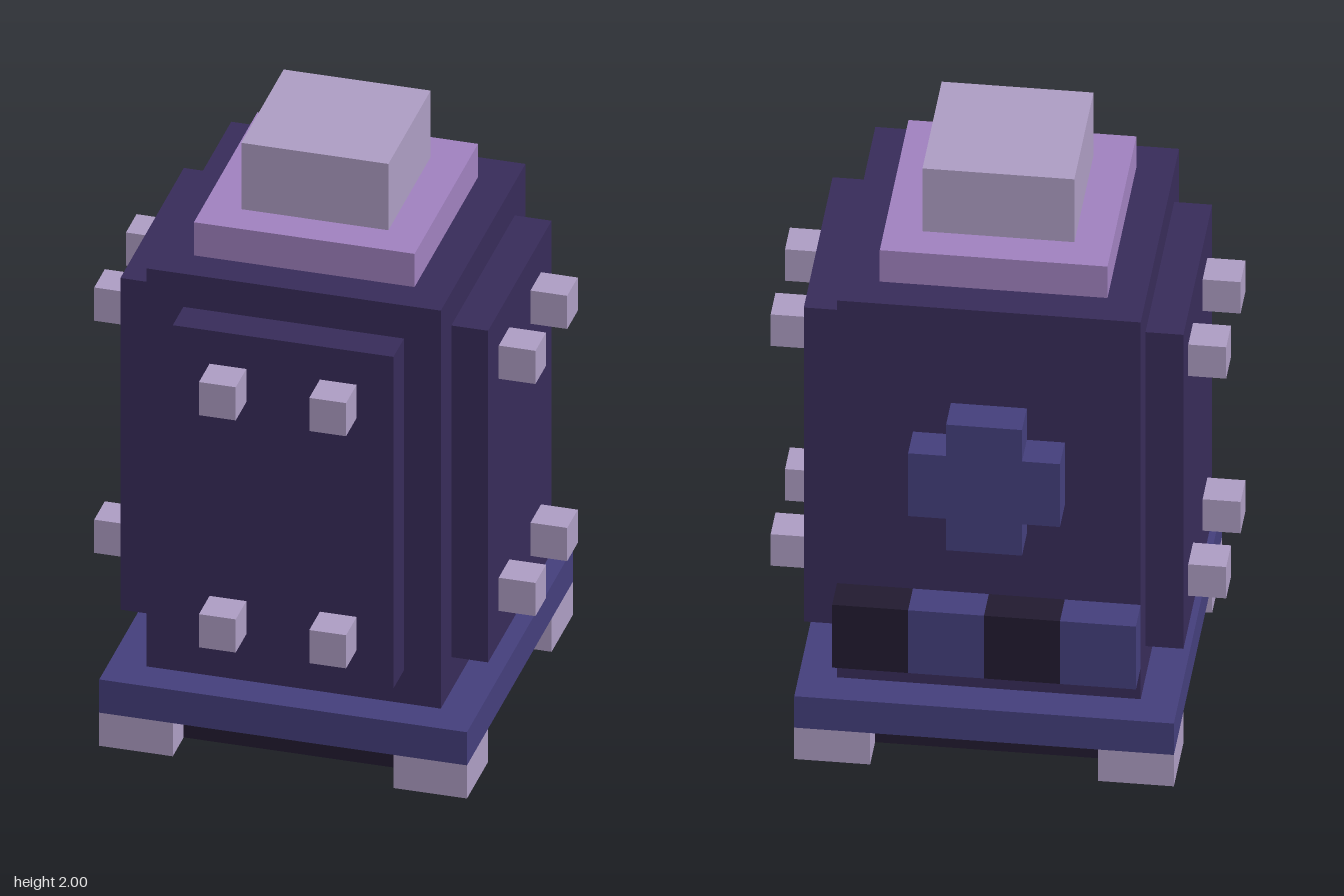
import * as THREE from 'three';

const U = 2 / 17; // one block unit

const mat = (color) => new THREE.MeshStandardMaterial({ color, flatShading: true });

export function createModel() {
  const root = new THREE.Group();
  const shell = mat(0x382c5a), trim = mat(0x443f7c), dark = mat(0x221b30);
  const pale = mat(0xae9ec4), lilac = mat(0xa182c0);

  // Box given by its extents in block units
  const box = (name, m, [x0, x1], [y0, y1], [z0, z1]) => {
    const mesh = new THREE.Mesh(new THREE.BoxGeometry(x1 - x0, y1 - y0, z1 - z0), m);
    mesh.position.set((x0 + x1) / 2, (y0 + y1) / 2, (z0 + z1) / 2);
    mesh.name = name;
    model.add(mesh);
  };
  const model = new THREE.Group();
  model.name = 'tank';
  model.scale.setScalar(U);
  root.add(model);

  // Base: underside block, plinth and four feet
  box('underside', dark, [-4, 4], [0.02, 1], [-4.5, 3.5]);
  box('plinth', trim, [-5, 5], [1, 2], [-5.5, 4.5]);
  for (const x of [-5, 3])
    for (const z of [-5.5, 2.5]) box('foot', pale, [x, x + 2], [0, 1], [z, z + 2]);

  // Body, neck and cap
  box('body', shell, [-4, 4], [2, 14], [-4.5, 3.5]);
  box('neck', lilac, [-3, 3], [14, 15], [-3.5, 2.5]);
  box('cap', pale, [-2, 2], [15, 17], [-2.5, 1.5]);

  // Raised panels on the front and both sides
  box('frontPanel', shell, [-3, 3], [3, 13], [3.5, 4.5]);
  box('leftPanel', shell, [4, 5], [3, 13], [-3.5, 2.5]);
  box('rightPanel', shell, [-5, -4], [3, 13], [-3.5, 2.5]);

  // Four bolts on each panel
  for (const y of [4, 11]) {
    for (const a of [-2, 1]) {
      box('frontBolt', pale, [a, a + 1], [y, y + 1], [4.5, 5.5]);
      box('leftBolt', pale, [5, 6], [y, y + 1], [a - 0.5, a + 0.5]);
      box('rightBolt', pale, [-6, -5], [y, y + 1], [a - 0.5, a + 0.5]);
    }
  }

  // Plus-shaped emblem on the back
  const plus = new THREE.Shape([
    [-1, -2], [1, -2], [1, -1], [2, -1], [2, 1], [1, 1],
    [1, 2], [-1, 2], [-1, 1], [-2, 1], [-2, -1], [-1, -1],
  ].map(([x, y]) => new THREE.Vector2(x, y)));
  const emblem = new THREE.Mesh(new THREE.ExtrudeGeometry(plus, { depth: 1, bevelEnabled: false }), trim);
  emblem.name = 'backPlus';
  emblem.position.set(0, 9, -5.5);
  model.add(emblem);

  // Striped band across the back
  for (let i = 0; i < 4; i++) {
    const x = -4 + i * 2;
    box('backStripe', i % 2 ? dark : trim, [x, x + 2], [3, 5], [-5.5, -4.5]);
  }
  return root;
}
